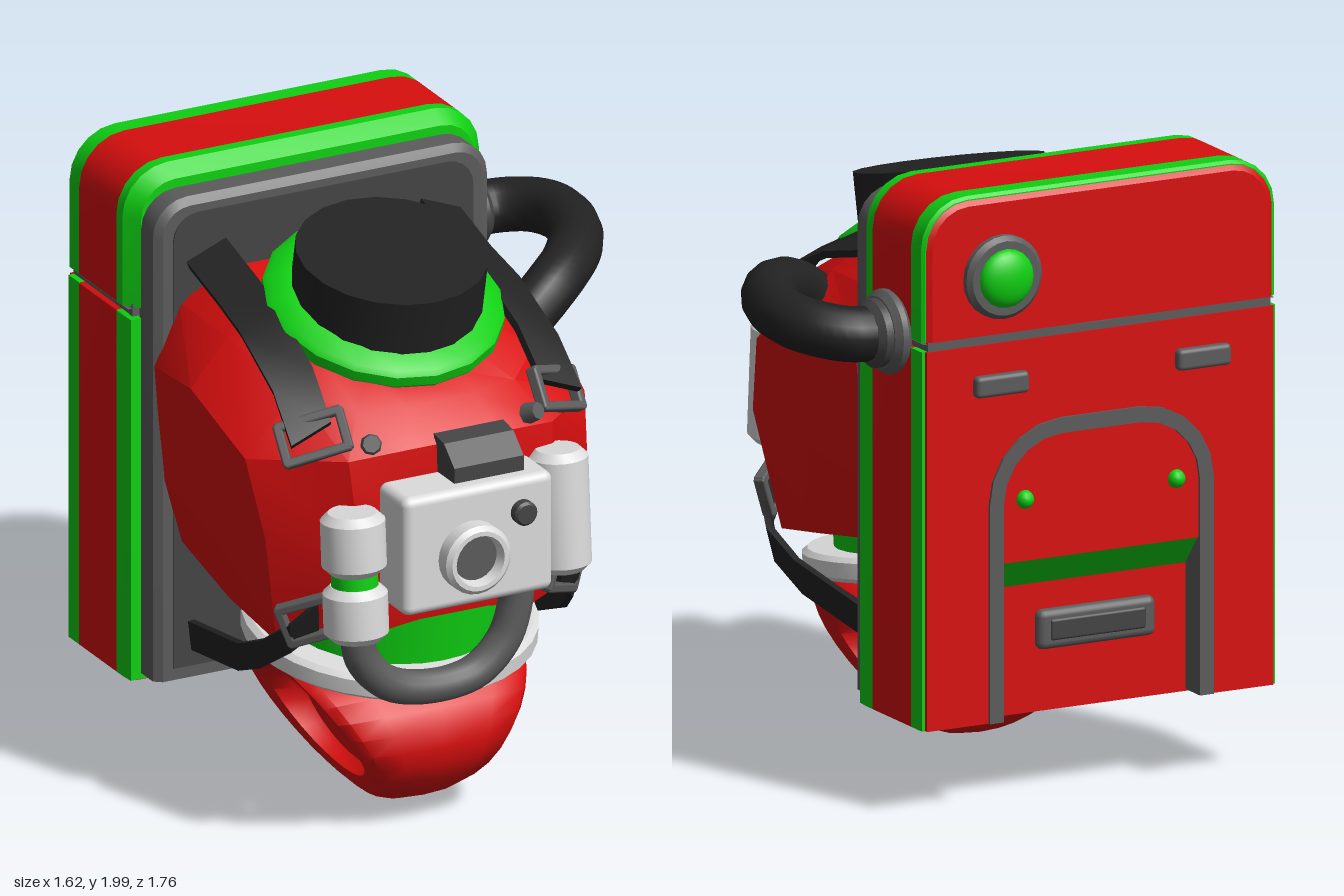
import * as THREE from 'three';
import { toCreasedNormals } from 'three/addons/utils/BufferGeometryUtils.js';
import { RoundedBoxGeometry } from 'three/addons/geometries/RoundedBoxGeometry.js';

const CX = -0.18; // symmetry plane of the suit
const V = (x, y, z) => new THREE.Vector3(x, y, z);
const paint = (name, color) => Object.assign(new THREE.MeshStandardMaterial({ color }), { name });

// Closed skin through rings of points, with fan caps; winding is set by signed volume
function loft(rings, crease = 0.5) {
  const tris = [];
  const n = rings[0].length;
  for (let i = 0; i + 1 < rings.length; i++) {
    for (let j = 0; j < n; j++) {
      const k = (j + 1) % n, a = rings[i], b = rings[i + 1];
      tris.push([a[j], a[k], b[k]], [a[j], b[k], b[j]]);
    }
  }
  const cap = (r, flip) => {
    const c = r.reduce((s, p) => s.add(p), V(0, 0, 0)).divideScalar(n);
    r.forEach((p, j) => tris.push(flip ? [c, r[(j + 1) % n], p] : [c, p, r[(j + 1) % n]]));
  };
  cap(rings[0], true);
  cap(rings[rings.length - 1], false);
  const volume = tris.reduce((s, [a, b, c]) => s + a.dot(b.clone().cross(c)), 0);
  if (volume < 0) tris.forEach((t) => t.reverse());
  const geo = new THREE.BufferGeometry().setFromPoints(tris.flat());
  return toCreasedNormals(geo, crease);
}

// Flat outline with rounded top corners
function outline(x0, x1, y0, y1, r, inset = 0) {
  const pts = [[x0 + inset, y0], [x1 - inset, y0]];
  for (const [cx, start] of [[x1 - r, 0], [x0 + r, Math.PI / 2]]) {
    for (let i = 0; i <= 5; i++) {
      const a = start + (i / 5) * Math.PI / 2, q = r - inset;
      pts.push([cx + Math.cos(a) * q, y1 - r + Math.sin(a) * q]);
    }
  }
  return pts;
}

// Strap of rectangular section along a path
function ribbon(path, across, width, thick) {
  return loft(path.map((p, i) => {
    const t = path[Math.min(i + 1, path.length - 1)].clone().sub(path[Math.max(i - 1, 0)]).normalize();
    const w = across.clone().normalize();
    const nrm = t.clone().cross(w).normalize().multiplyScalar(thick / 2);
    w.multiplyScalar(width / 2);
    return [[1, 1], [1, -1], [-1, -1], [-1, 1]].map(([a, b]) => p.clone().addScaledVector(w, a).addScaledVector(nrm, b));
  }));
}

const lathe = (pts, seg = 24) => toCreasedNormals(new THREE.LatheGeometry(pts.map((p) => new THREE.Vector2(...p)), seg), 0.6);
const can = (r, h, b = 0.02) => lathe([[0, -h / 2], [r - b, -h / 2], [r, -h / 2 + b], [r, h / 2 - b], [r - b, h / 2], [0, h / 2]]);
const tube = (pts, r) => new THREE.TubeGeometry(new THREE.CatmullRomCurve3(pts), 40, r, 14);
const extrude = (pts, depth) => new THREE.ExtrudeGeometry(new THREE.Shape(pts.map((p) => new THREE.Vector2(...p))), { depth, bevelEnabled: false });

export function createModel() {
  const model = new THREE.Group();
  model.name = 'suitTorso';
  const red = paint('red', 0xd80e0e), green = paint('green', 0x0fd012), black = paint('black', 0x222222);
  const grey = paint('grey', 0x5c5c5c), dark = paint('darkGrey', 0x444444), white = paint('white', 0xdcdcdc);
  const add = (name, geo, mat, p = [0, 0, 0], r = [0, 0, 0], parent = model) => {
    const m = new THREE.Mesh(geo, mat);
    m.name = name;
    m.position.set(...p);
    m.rotation.set(...r);
    parent.add(m);
    return m;
  };

  // Torso shell: half sections mirrored about the middle
  const half = [
    [[.5, .78, -.27], [.52, .72, .1], [.5, .67, .38], [.3, .72, .58], [.12, .76, .62]],
    [[.56, 1, -.27], [.57, 1.02, .1], [.57, 1.05, .44], [.34, 1.05, .64], [.14, 1.05, .66]],
    [[.59, 1.38, -.27], [.63, 1.43, .05], [.6, 1.3, .36], [.36, 1.33, .6], [.15, 1.35, .64]],
    [[.5, 1.58, -.27], [.5, 1.58, .05], [.42, 1.49, .36], [.28, 1.45, .5], [.12, 1.45, .54]],
    [[.36, 1.7, -.2], [.36, 1.67, .05], [.3, 1.57, .3], [.2, 1.52, .42], [.1, 1.5, .45]],
  ];
  add('torso', loft(half.map((h) => [
    ...h.map(([x, y, z]) => V(CX + x, y, z)),
    ...h.slice().reverse().map(([x, y, z]) => V(CX - x, y, z)),
  ]), 0.45), red);

  // Neck: collar, ring and plug
  add('neckCollar', new THREE.CylinderGeometry(.33, .36, .14, 20), black, [CX, 1.57, .13], [.35, 0, 0]);
  add('neckRing', lathe([[.3, -.04], [.37, -.04], [.385, -.02], [.385, .015], [.37, .03], [.31, .06], [.28, .06]], 18), green, [CX, 1.64, .145], [.35, 0, 0]);
  add('neckPlug', toCreasedNormals(new THREE.CylinderGeometry(.305, .305, .32, 20), .6), black, [CX, 1.675, .17], [.215, 0, 0]);

  // Waist, belt ring and briefs
  add('waist', new THREE.CylinderGeometry(.37, .37, .26, 28), green, [CX, .66, .19], [.13, 0, 0]);
  add('beltRing', lathe([[.36, -.04], [.45, -.04], [.468, -.025], [.468, .025], [.45, .04], [.36, .04], [.36, -.04]], 32), white, [CX, .58, .19], [.13, 0, 0]);
  const side = [[0, 1], [.55, .985], [.9, .93], [1, .84], [1, .76], [.94, .68], [.72, .64], [.6, .6]];
  const legs = [...side.slice(1).reverse().map(([f, s]) => [-f, s]), ...side];
  add('briefs', loft(legs.map(([f, s]) => Array.from({ length: 28 }, (_, i) => {
    const a = (i / 28) * Math.PI * 2, y = .285 + .275 * s * Math.sin(a);
    return V(CX + f * (.1 + .6 * y), y, .17 + .4 * s * Math.cos(a));
  })), 0.9), red);

  // Life-support pack in two storeys of coloured layers
  const X0 = -.81, X1 = .45;
  const slab = (y0, y1, r, rings, x0 = X0, x1 = X1) =>
    loft(rings.map(([z, i]) => outline(x0, x1, y0, y1, r, i).map(([x, y]) => V(x, y, z))));
  for (const [part, y0, y1, r] of [['packLower', .29, 1.515, .005], ['packUpper', 1.545, 2, .16]]) {
    const e = r > .1 ? .04 : .004;
    add(part + 'FrontTrim', slab(y0, y1, r, [[-.36, e], [-.41, 0], [-.45, 0]]), green);
    add(part + 'Core', slab(y0, y1, r, [[-.45, 0], [-.7, 0]]), red);
  }
  add('packUpperBackTrim', slab(1.545, 2, .16, [[-.7, 0], [-.765, 0], [-.775, .01]]), green);
  add('packUpperBack', slab(1.545, 2, .16, [[-.774, .012], [-.785, .03]]), red);
  const notched = (i) => [[X0 + i, .29], [CX - .37, .29], [CX - .37, .8], [CX + .37, .8], [CX + .37, .29], [X1 - i, .29], [X1 - i, 1.515], [X0 + i, 1.515]];
  add('packLowerBackTrim', extrude(notched(0), .072), green, [0, 0, -.772]);
  add('packLowerBack', extrude(notched(.012), .013), red, [0, 0, -.785]);
  add('packSeam', slab(1.5, 1.56, .005, [[-.38, .02], [-.777, .02]]), grey);
  add('packBottom', new THREE.BoxGeometry(1.2, .008, .33), red, [CX, .288, -.535]);
  add('packFrame', slab(.31, 1.93, .12, [[-.37, 0], [-.28, 0], [-.26, .025]], -.77, .41), grey);
  add('packFramePanel', slab(.35, 1.88, .09, [[-.265, 0], [-.255, 0]], -.71, .35), dark);

  // Back hatch: arch, sloped lip, latches and handle
  const outer = outline(CX - .4, CX + .4, .29, 1.25, .26), inner = outline(CX - .35, CX + .35, .29, 1.2, .21);
  add('hatchArch', extrude([...outer.slice(1), outer[0], inner[0], ...inner.slice(1).reverse()], .095), grey, [0, 0, -.795]);
  add('hatchLip', loft([-.35, .35].map((x) => [V(CX + x, .805, -.783), V(CX + x, .805, -.7), V(CX + x, .7, -.7)])), green);
  for (const s of [-1, 1]) {
    add('hatchLatch', new THREE.SphereGeometry(.03, 10, 8), green, [CX + s * .27, 1, -.785]);
    add('backTab', new RoundedBoxGeometry(.19, .07, .04, 2, .015), grey, [CX + s * .36, 1.385, -.795]);
  }
  add('hatchHandle', new RoundedBoxGeometry(.42, .13, .05, 2, .024), grey, [CX - .02, .55, -.71]);
  add('hatchHandleInset', new RoundedBoxGeometry(.34, .07, .02, 2, .009), dark, [CX - .02, .55, -.73]);
  add('beaconBase', can(.135, .05, .015), grey, [.18, 1.735, -.805], [-Math.PI / 2, 0, 0]);
  const dome = new THREE.SphereGeometry(.095, 20, 8, 0, Math.PI * 2, 0, Math.PI / 2).scale(1, .5, 1);
  add('beacon', dome, green, [.18, 1.735, -.828], [-Math.PI / 2, 0, 0]);

  // Air hose from pack to chest
  add('hosePort', can(.135, .06), grey, [.475, 1.545, -.585], [0, 0, Math.PI / 2]);
  add('hosePortCollar', can(.11, .1), dark, [.5, 1.545, -.585], [0, 0, Math.PI / 2]);
  add('airHose', tube([V(.48, 1.545, -.585), V(.6, 1.55, -.58), V(.69, 1.565, -.5), V(.72, 1.575, -.38), V(.68, 1.58, -.2), V(.58, 1.575, -.04), V(.45, 1.54, .07), V(.33, 1.46, .11)], .088), black);

  // Straps, buckles and rivets on both sides
  for (const s of [-1, 1]) {
    const at = (x, y, z) => V(CX + s * x, y, z);
    add('shoulderStrap', ribbon([at(.41, 1.74, -.27), at(.41, 1.68, -.05), at(.42, 1.64, .12), at(.43, 1.53, .36), at(.44, 1.4, .5)], V(s, -.4, 0), .15, .025), black);
    add('waistStrap', ribbon([at(.43, .8, .53), at(.5, .72, .48), at(.54, .63, .36), at(.53, .56, .2), at(.46, .45, -.27)], V(s * .15, 1, .25), .11, .022), black);
    for (const [name, p, dir] of [['shoulderBuckle', at(.43, 1.39, .495), V(s * .55, .55, .75)], ['waistBuckle', at(.44, .79, .525), V(s * .6, -.1, .8)]]) {
      const b = new THREE.Group();
      b.name = name;
      b.position.copy(p);
      b.lookAt(p.clone().add(dir));
      b.rotateZ(-s * .35);
      for (const k of [-1, 1]) {
        add('buckleBar', new RoundedBoxGeometry(.22, .03, .04, 1, .008), grey, [0, k * .06, 0], [0, 0, 0], b);
        add('buckleEnd', new RoundedBoxGeometry(.03, .14, .04, 1, .008), grey, [k * .1, 0, 0], [0, 0, 0], b);
      }
      model.add(b);
    }
    add('rivet', new THREE.CylinderGeometry(.028, .035, .05, 8), grey, at(.285, 1.38, .61).toArray(), [1.1, 0, -s * .4]);
  }

  // Chest control unit
  add('controlBox', new RoundedBoxGeometry(.53, .4, .19, 3, .03), white, [-.19, 1.06, .72]);
  add('dialHousing', lathe([[.075, -.05], [.115, -.05], [.115, .04], [.1, .055], [.085, .055], [.075, .02]]), white, [-.22, 1.035, .825], [Math.PI / 2, 0, 0]);
  add('dialFace', new THREE.CylinderGeometry(.08, .08, .03, 24), grey, [-.22, 1.035, .83], [Math.PI / 2, 0, 0]);
  add('knob', can(.04, .06, .008), dark, [-.04, 1.148, .82], [Math.PI / 2, 0, 0]);
  add('topMount', loft([-.25, -.005].map((x) => [[1.24, .64], [1.38, .62], [1.37, .69], [1.31, .76], [1.24, .76]].map(([y, z]) => V(x, y, z)))), dark);
  add('leftCanister', can(.095, .4, .025), white, [.17, 1.065, .67], [-.07, 0, 0]);
  add('rightCanisterTop', can(.103, .2, .025), white, [-.56, 1.09, .67], [-.07, 0, 0]);
  add('rightCanisterBand', new THREE.CylinderGeometry(.075, .075, .08, 20), green, [-.56, .97, .678], [-.07, 0, 0]);
  add('rightCanisterBase', can(.103, .18, .025), white, [-.56, .86, .686], [-.07, 0, 0]);
  add('controlHose', tube([V(-.56, .82, .69), V(-.54, .7, .69), V(-.45, .6, .69), V(-.3, .56, .69), V(-.14, .58, .69), V(-.04, .67, .69), V(0, .78, .69), V(.01, .89, .69)], .056), grey);

  return model;
}
